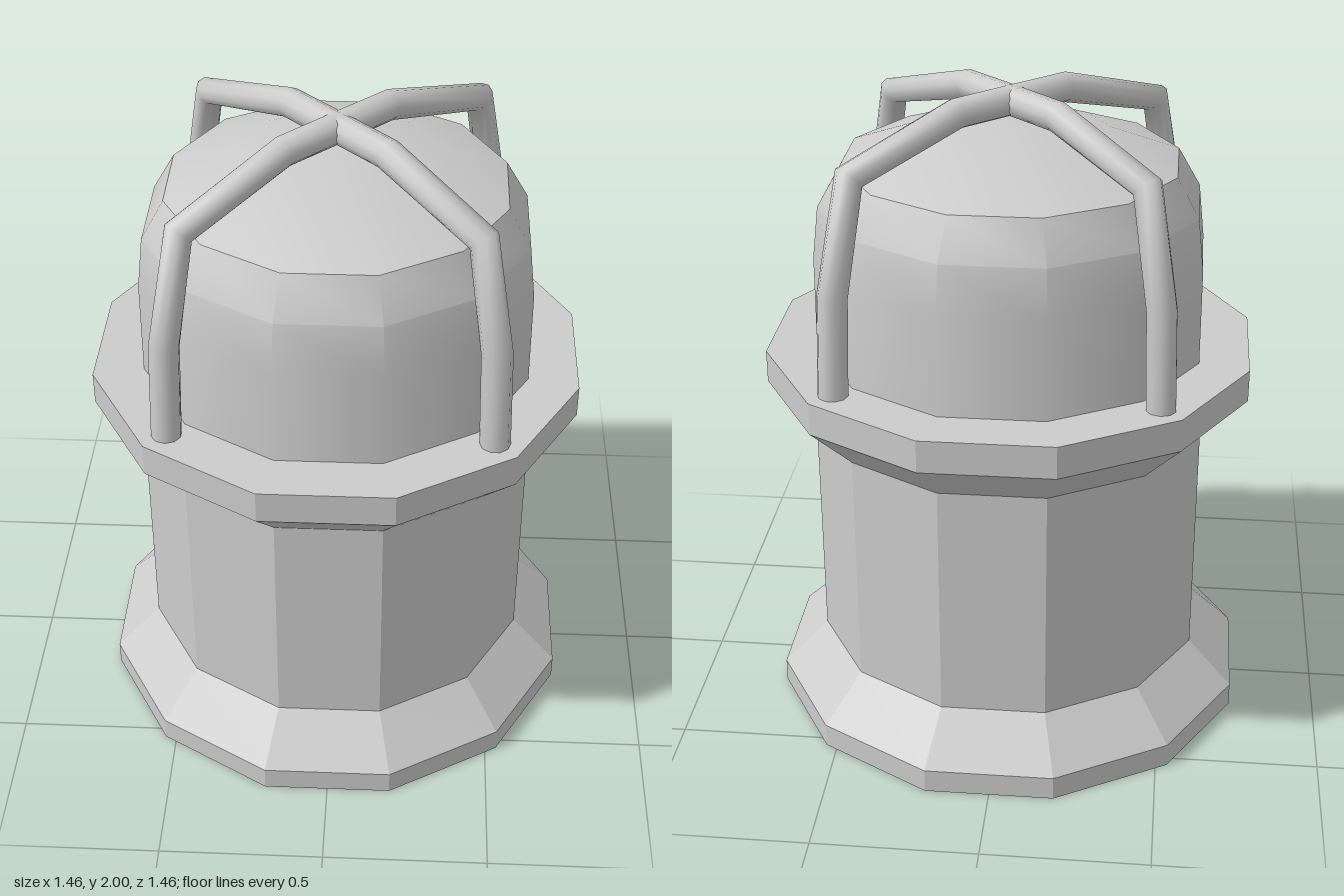
import * as THREE from 'three';
import { toCreasedNormals } from 'three/addons/utils/BufferGeometryUtils.js';

const SIDES = 12;
const metal = new THREE.MeshStandardMaterial({ color: 0xcccccc, side: THREE.DoubleSide });
metal.name = 'grey metal';

// Twelve-sided turned shell; radii are measured to the middle of each flat
function turned(name, profile, creaseDegrees) {
  const k = 1 / Math.cos(Math.PI / SIDES);
  const points = profile.map(([r, y]) => new THREE.Vector2(r * k, y));
  const lathe = new THREE.LatheGeometry(points, SIDES, Math.PI / SIDES);
  const geometry = toCreasedNormals(lathe, THREE.MathUtils.degToRad(creaseDegrees));
  const mesh = new THREE.Mesh(geometry, metal);
  mesh.name = name;
  return mesh;
}

// Straight-segment path with mitred corners, one tube segment per span
class BentPath extends THREE.Curve {
  constructor(points) {
    super();
    this.points = points;
  }
  getPoint(t, target = new THREE.Vector3()) {
    const s = t * (this.points.length - 1);
    const i = Math.min(Math.floor(s), this.points.length - 2);
    return target.lerpVectors(this.points[i], this.points[i + 1], s - i);
  }
  getPointAt(u, target) {
    return this.getPoint(u, target);
  }
  getTangentAt(u, target) {
    return this.getTangent(u, target);
  }
}

export function createModel() {
  const group = new THREE.Group();
  group.name = 'caged lamp';

  // Hollow body, open underneath, with flared foot and collar
  group.add(turned('body', [
    [0.73, 0], [0.73, 0.075], [0.593, 0.215], [0.593, 0.965],
    [0.73, 1.105], [0.73, 1.205], [0.578, 1.205],
  ], 20));

  // Domed lens with a shallow cap
  group.add(turned('dome', [
    [0.58, 1.205], [0.578, 1.5], [0.56, 1.66], [0.493, 1.78],
    [0.29, 1.857], [0.1, 1.88], [0, 1.882],
  ], 35));

  // Two bent hoops crossing over the dome along the diagonals
  const half = [[0.473, 1.2], [0.464, 1.51], [0.412, 1.848], [0.145, 1.955]];
  const outline = [
    ...half.map(([x, y]) => [-x, y]),
    [0, 1.955],
    ...half.slice().reverse(),
  ];
  for (const side of [1, -1]) {
    const path = new BentPath(outline.map(([x, y]) => new THREE.Vector3(x, y, x * side)));
    const hoop = new THREE.Mesh(new THREE.TubeGeometry(path, outline.length - 1, 0.045, 10), metal);
    hoop.name = side > 0 ? 'cageHoopA' : 'cageHoopB';
    group.add(hoop);
  }
  return group;
}
